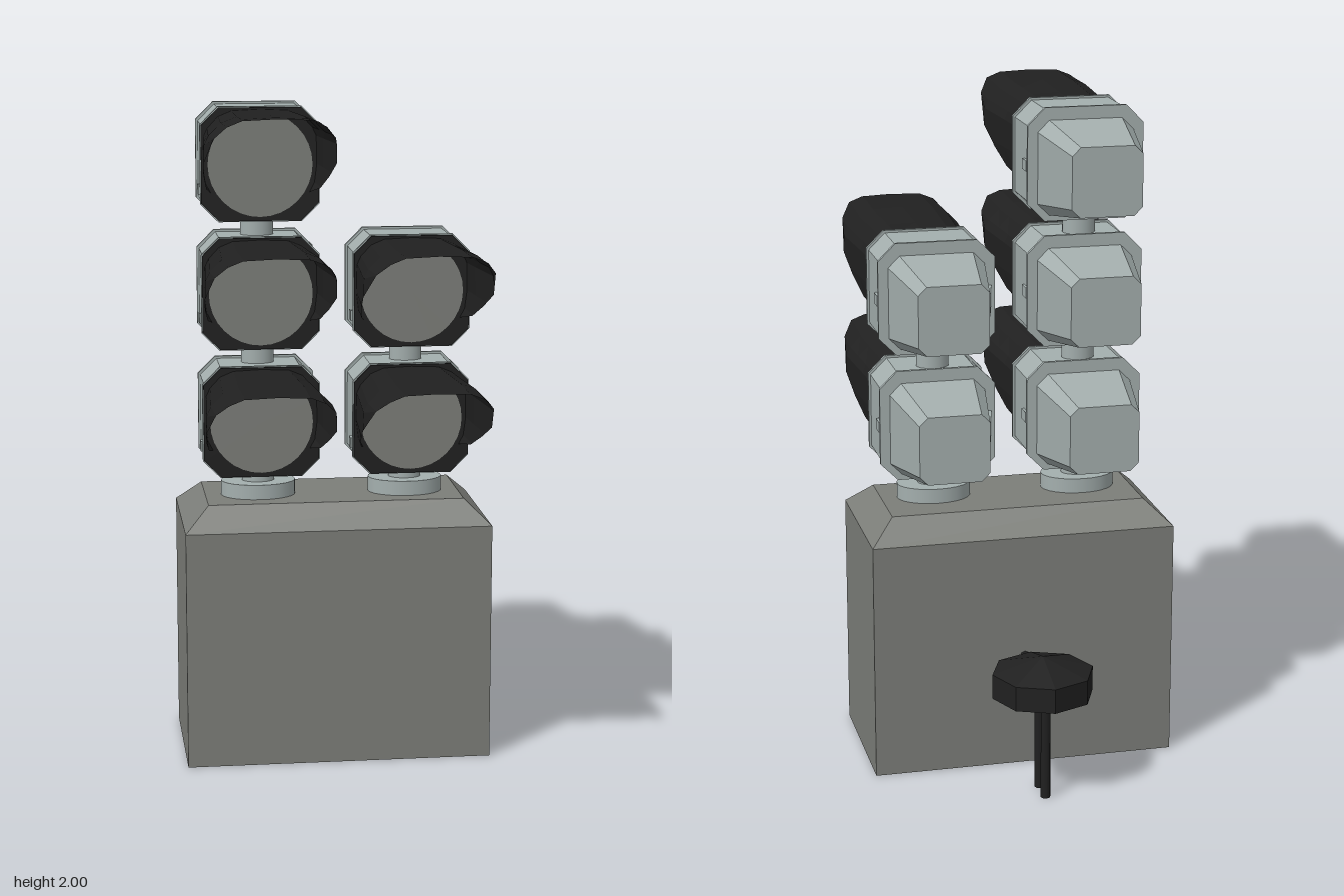
import * as THREE from 'three';

const mat = (name, color, side = THREE.FrontSide) => {
  const m = new THREE.MeshStandardMaterial({ color, side });
  m.name = name;
  return m;
};

export function createModel() {
  const stone = mat('warm grey', 0x7c7e79, THREE.DoubleSide);
  const metal = mat('pale metal', 0xa4afae);
  const black = mat('matte black', 0x202020, THREE.DoubleSide);
  const root = new THREE.Group();
  root.name = 'signalStand';

  const add = (parent, name, geo, material, x = 0, y = 0, z = 0) => {
    const m = new THREE.Mesh(geo, material);
    m.name = name;
    m.position.set(x, y, z);
    parent.add(m);
    return m;
  };

  // Skin between rings of [x, y, z] points
  const loft = (rings, closed) => {
    const p = [];
    for (let i = 0; i < rings.length - 1; i++) {
      const n = rings[i].length;
      for (let j = 0; j < (closed ? n : n - 1); j++) {
        const k = (j + 1) % n;
        const [a, b, c, d] = [rings[i][j], rings[i][k], rings[i + 1][k], rings[i + 1][j]];
        p.push(...a, ...b, ...c, ...a, ...c, ...d);
      }
    }
    const g = new THREE.BufferGeometry();
    g.setAttribute('position', new THREE.Float32BufferAttribute(p, 3));
    g.computeVertexNormals();
    return g;
  };

  // Prism with cut corners; its back end can be narrowed
  const prism = (w, h, cut, z0, z1, backScale = 1) => {
    const s = new THREE.Shape([
      [w - cut, -h], [w, cut - h], [w, h - cut], [w - cut, h],
      [cut - w, h], [-w, h - cut], [-w, cut - h], [cut - w, -h],
    ].map(([x, y]) => new THREE.Vector2(x, y)));
    const g = new THREE.ExtrudeGeometry(s, { depth: z1 - z0, bevelEnabled: false });
    const p = g.attributes.position;
    for (let i = 0; i < p.count; i++) {
      const f = p.getZ(i) < 1e-6 ? backScale : 1;
      p.setXYZ(i, p.getX(i) * f, p.getY(i) * f, p.getZ(i) + z0);
    }
    g.computeVertexNormals();
    return g;
  };

  // Plinth, open below, with a sloped rim
  const rect = (y, w, d) => [[-w, y, d - 0.02], [w, y, d - 0.02], [w, y, -d - 0.02], [-w, y, -d - 0.02]];
  add(root, 'plinth', loft([
    rect(0, 0.465, 0.24), rect(0.73, 0.465, 0.24), rect(0.8, 0.39, 0.16), rect(0.8, 0, 0),
  ], true), stone);

  // Visor: half outline cut off at a height that rises towards the tip
  const outline = [[0, 0.175], [0.095, 0.171], [0.14, 0.153], [0.175, 0.117], [0.188, 0.09], [0.19, 0], [0.182, -0.06], [0.16, -0.1]];
  const halfSection = (low) => {
    const out = [];
    for (let i = 0; i < outline.length; i++) {
      const [x, y] = outline[i];
      if (y > low) { out.push([x, y]); continue; }
      const [px, py] = outline[i - 1];
      const t = (py - low) / (py - y);
      out.push([px + (x - px) * t, low]);
      break;
    }
    while (out.length < outline.length) out.push(out[out.length - 1]);
    return out;
  };
  const visorGeo = loft([
    [0.12, -0.085, 0.88, 0.92], [0.24, -0.06, 0.92, 0.94], [0.34, -0.015, 0.96, 0.96],
    [0.45, 0.035, 1, 0.98], [0.58, 0.117, 0.97, 1], [0.638, 0.154, 1, 1],
  ].map(([z, low, sx, sy]) => {
    const half = halfSection(low / sy).map(([x, y]) => [x * sx, y * sy, z]);
    const mirrored = half.slice(1).reverse().map(([x, y]) => [-x, y, z]);
    return [...half.slice().reverse(), ...mirrored.reverse()];
  }), false);

  const bodyGeo = prism(0.17, 0.163, 0.05, -0.07, 0.118);
  const rimGeo = prism(0.177, 0.17, 0.053, 0, 0.012);
  const coneGeo = prism(0.147, 0.143, 0.035, -0.322, -0.07, 0.72);
  const frameGeo = prism(0.174, 0.167, 0.052, 0.124, 0.13);
  const lensGeo = new THREE.CircleGeometry(0.155, 32);
  const latchGeo = new THREE.BoxGeometry(0.012, 0.032, 0.05);
  const knobGeo = new THREE.BoxGeometry(0.02, 0.03, 0.03);
  // Tapered rib on the side of the rear housing
  const ribGeo = new THREE.ExtrudeGeometry(new THREE.Shape([
    new THREE.Vector2(-0.1, 0.07), new THREE.Vector2(-0.168, 0.07), new THREE.Vector2(-0.13, 0.22), new THREE.Vector2(-0.1, 0.22),
  ]), { depth: 0.06, bevelEnabled: false }).rotateX(-Math.PI / 2).translate(0, -0.03, 0);

  const addHead = (x, y) => {
    const head = new THREE.Group();
    head.name = 'lampHead';
    head.position.set(x, y, 0);
    root.add(head);
    add(head, 'housing', bodyGeo, metal);
    add(head, 'rearHousing', coneGeo, metal, 0, -0.01);
    add(head, 'frontRim', rimGeo, metal, 0, 0, 0.112);
    add(head, 'rearRim', rimGeo, metal, 0, 0, -0.075);
    add(head, 'sideRib', ribGeo, metal);
    add(head, 'latch', latchGeo, metal, 0.172, -0.005, -0.035);
    add(head, 'hinge', knobGeo, metal, -0.172, -0.075, 0.09);
    add(head, 'lensFrame', frameGeo, black);
    add(head, 'lens', lensGeo, stone, 0, 0, 0.133);
    add(head, 'visor', visorGeo, black);
  };

  // Two columns of lamp heads on oval poles
  const heights = [1.05, 1.44, 1.825];
  for (const [x, count] of [[-0.227, 3], [0.227, 2]]) {
    const top = heights[count - 1];
    const foot = add(root, 'poleFoot', new THREE.CylinderGeometry(0.114, 0.114, 0.045, 24), metal, x, 0.8225);
    const pole = add(root, 'pole', new THREE.CylinderGeometry(0.05, 0.05, top - 0.8, 20), metal, x, (top + 0.8) / 2);
    foot.scale.z = 0.75;
    pole.scale.z = 0.8;
    for (let i = 0; i < count; i++) addHead(x, heights[i]);
  }

  // Eight-sided canister on two legs behind the plinth
  const canister = new THREE.Group();
  canister.name = 'canister';
  canister.position.z = -0.483;
  root.add(canister);
  const profile = [[0, 0.315], [0.153, 0.315], [0.153, 0.39], [0, 0.435]].map(([r, y]) => new THREE.Vector2(r, y));
  const drum = new THREE.LatheGeometry(profile, 8).toNonIndexed();
  drum.computeVertexNormals();
  add(canister, 'drum', drum, black);
  for (const z of [-0.038, 0.038]) {
    add(canister, 'leg', new THREE.CylinderGeometry(0.015, 0.015, 0.32, 8), black, 0, 0.16, z);
  }
  add(canister, 'arm', new THREE.CylinderGeometry(0.015, 0.015, 0.13, 8).rotateX(Math.PI / 2), black, 0, 0.35, 0.165);

  return root;
}
